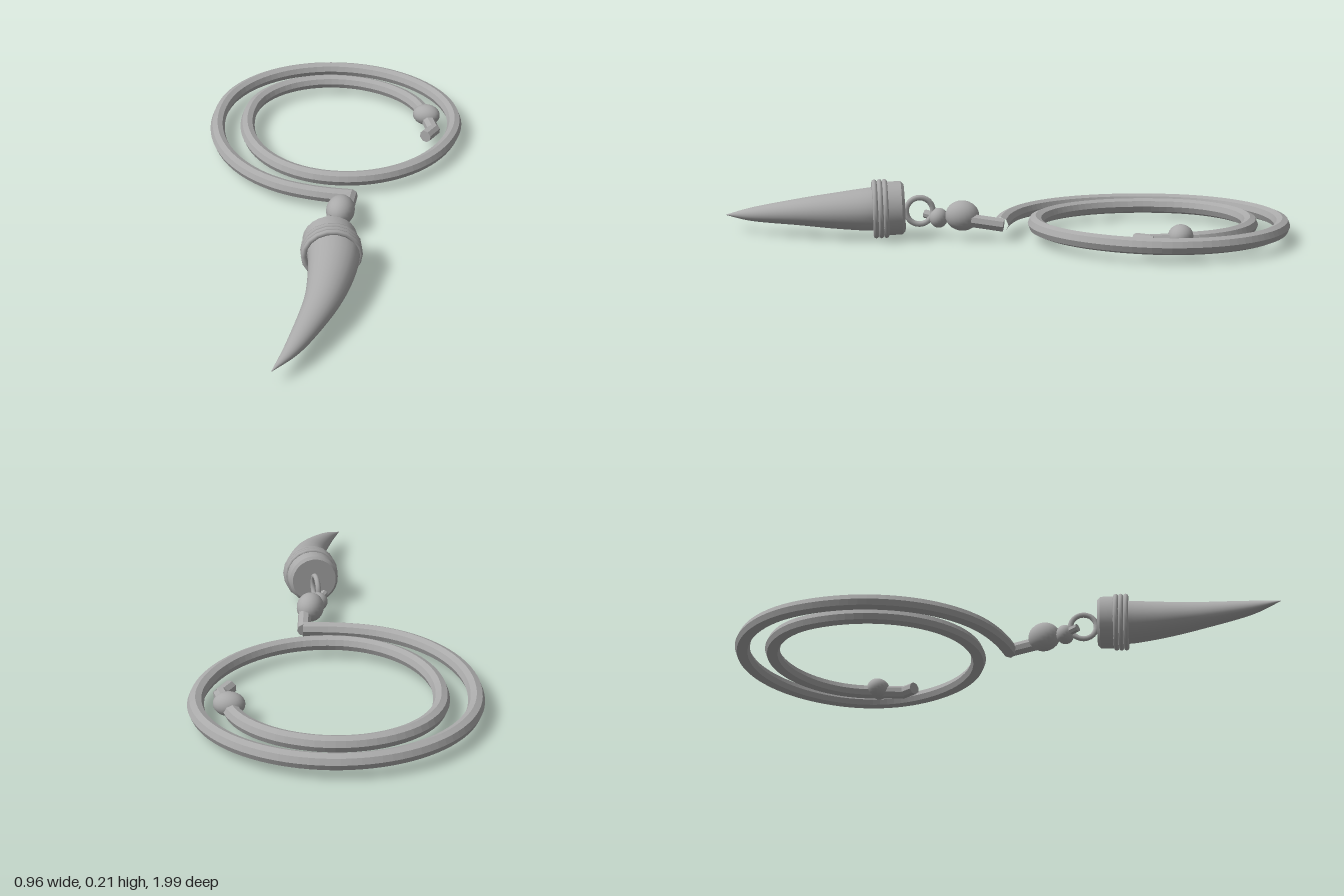
import * as THREE from 'three';
import { mergeVertices } from 'three/addons/utils/BufferGeometryUtils.js';

export function createModel() {
  const model = new THREE.Group();
  model.name = 'hornPendant';
  const grey = new THREE.MeshStandardMaterial({ color: 0xaaaaaa });
  grey.name = 'grey';
  const V = (x, y, z) => new THREE.Vector3(x, y, z);
  const UP = V(0, 1, 0);

  const add = (name, geometry, parent = model) => {
    const mesh = new THREE.Mesh(geometry, grey);
    mesh.name = name;
    parent.add(mesh);
    return mesh;
  };
  const faceted = (geometry) => {
    const g = geometry.toNonIndexed();
    g.computeVertexNormals();
    return g;
  };
  // Straight capped piece of cord between two points
  const rod = (name, a, b, r) => {
    const mesh = add(name, faceted(new THREE.CylinderGeometry(r, r, a.distanceTo(b), 8)));
    mesh.position.copy(a).lerp(b, 0.5);
    mesh.quaternion.setFromUnitVectors(UP, b.clone().sub(a).normalize());
  };
  const bead = (name, x, y, z, rx, ry, rz) => {
    const mesh = add(name, new THREE.SphereGeometry(1, 20, 14));
    mesh.position.set(x, y, z);
    mesh.scale.set(rx, ry, rz);
  };

  // Coiled cord: quarter ellipses joining the outermost points of each turn
  const cordY = 0.061, cordR = 0.0275;
  const turns = [[0.345, -0.57], [0, -0.86], [-0.345, -0.55], [0.04, -0.12],
    [0.452, -0.57], [0, -0.97], [-0.458, -0.54], [0.03, -0.008]];
  const path = [];
  for (let i = 0; i < turns.length - 1; i++) {
    const [ax, az] = turns[i], [bx, bz] = turns[i + 1];
    const startsAtSide = i === 0 || i === 2 || i === 4 || i === 6;
    const steps = 8;
    for (let k = i === 0 ? 1.5 : 0; k < steps; k++) {
      const t = (k / steps) * Math.PI / 2, c = Math.cos(t), s = Math.sin(t);
      path.push(startsAtSide
        ? V(bx + (ax - bx) * c, cordY, az + (bz - az) * s)
        : V(ax + (bx - ax) * s, cordY, bz + (az - bz) * c));
    }
  }
  path.push(V(0.03, cordY, -0.008), V(0.11, cordY, -0.01), V(0.192, cordY, -0.02));
  const coil = new THREE.CatmullRomCurve3(path);
  add('coiledCord', faceted(new THREE.TubeGeometry(coil, 150, cordR, 8)));

  // Loose inner end with its bead
  bead('endBead', 0.33, 0.074, -0.658, 0.053, 0.04, 0.042);
  rod('cordEnd', V(0.325, cordY, -0.67), V(0.378, cordY, -0.565), 0.025);
  rod('cordTip', V(0.38, cordY, -0.58), V(0.357, cordY, -0.512), 0.024);

  // Cord bend, beads and knot leading to the pendant
  rod('cordBend', V(0.188, cordY, -0.03), V(0.202, 0.075, 0.08), 0.024);
  bead('largeBead', 0.187, 0.089, 0.118, 0.05, 0.053, 0.06);
  bead('smallBead', 0.172, 0.075, 0.207, 0.036, 0.035, 0.032);
  rod('knotEnd', V(0.17, 0.075, 0.2), V(0.157, 0.085, 0.262), 0.015);
  const loop = add('hangingLoop', new THREE.TorusGeometry(0.047, 0.01, 8, 24));
  loop.position.set(0.19, 0.1, 0.272);
  loop.rotation.y = -1.2;

  // Cap and wound bands share the axis of the horn's root
  const collar = new THREE.Group();
  collar.name = 'collar';
  collar.position.set(0.203, 0.112, 0.323);
  collar.quaternion.setFromUnitVectors(UP, V(0.33, -0.03, 0.944).normalize());
  model.add(collar);
  const capProfile = [[0, 0], [0.083, 0], [0.083, 0], [0.093, 0.01], [0.093, 0.01],
    [0.095, 0.085], [0.095, 0.085], [0, 0.085]].map(([r, h]) => new THREE.Vector2(r, h));
  add('cap', new THREE.LatheGeometry(capProfile, 24), collar);
  for (let i = 0; i < 3; i++) {
    const band = add('band', new THREE.TorusGeometry(0.094, 0.0095, 8, 18), collar);
    band.rotation.x = Math.PI / 2;
    band.position.y = 0.066 + i * 0.018;
  }

  // Curved horn: x, y, z of the centre line and its half width
  const stations = [[0.225, 0.112, 0.375, 0.087], [0.247, 0.11, 0.435, 0.086],
    [0.264, 0.103, 0.556, 0.072], [0.266, 0.094, 0.688, 0.054],
    [0.24, 0.074, 0.872, 0.029], [0.203, 0.06, 0.995, 0.001]];
  const centre = new THREE.CatmullRomCurve3(stations.map(([x, y, z]) => V(x, y, z)), false, 'catmullrom');
  const width = new THREE.CatmullRomCurve3(stations.map((s, i) => V(s[3], i, 0)), false, 'catmullrom');
  let horn = new THREE.CylinderGeometry(1, 1, 1, 24, 24, true);
  const pos = horn.attributes.position;
  for (let i = 0; i < pos.count; i++) {
    const u = 0.5 - pos.getY(i);
    const side = UP.clone().cross(centre.getTangent(u)).normalize();
    const r = width.getPoint(u).x;
    const p = centre.getPoint(u).addScaledVector(side, pos.getX(i) * r)
      .addScaledVector(UP, pos.getZ(i) * r * 0.88);
    pos.setXYZ(i, p.x, p.y, p.z);
  }
  horn.deleteAttribute('uv');
  horn.deleteAttribute('normal');
  horn = mergeVertices(horn, 1e-5);
  horn.computeVertexNormals();
  add('horn', horn);

  return model;
}
